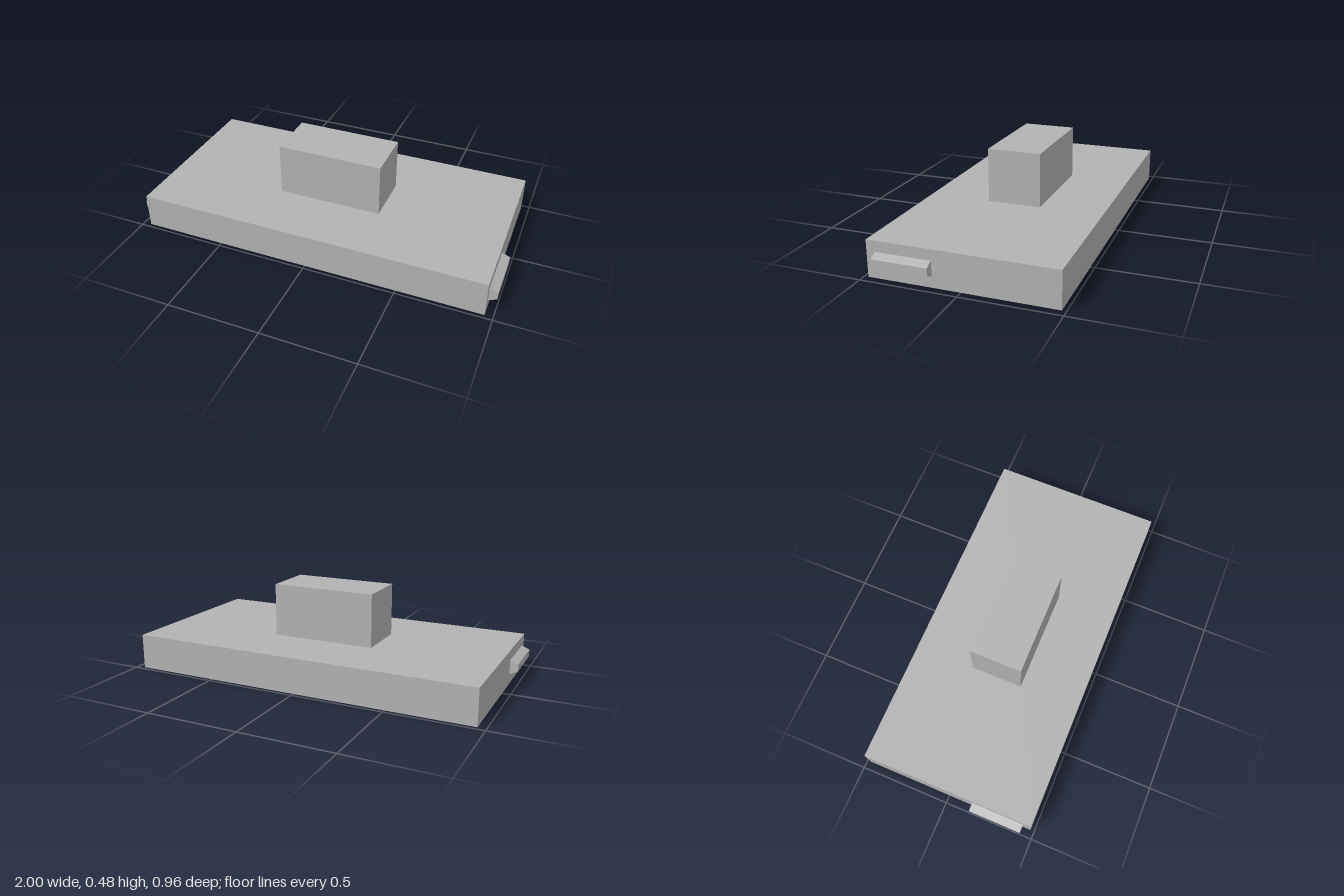
import * as THREE from 'three';

export function createModel() {
  const group = new THREE.Group();
  const grey = new THREE.MeshStandardMaterial({ color: 0xb3b3b3 });
  grey.name = 'grey';

  const add = (name, geometry, x, y, z) => {
    const mesh = new THREE.Mesh(geometry, grey);
    mesh.name = name;
    mesh.position.set(x, y, z);
    group.add(mesh);
  };

  // Flat slab with a block standing at its centre
  add('base', new THREE.BoxGeometry(1.914, 0.191, 0.957), 0, 0.0955, 0);
  add('centreBlock', new THREE.BoxGeometry(0.574, 0.288, 0.287), 0, 0.335, 0);

  // Side grips: trapezoid section, narrower on the outside, near the front
  for (const side of [1, -1]) {
    const section = new THREE.Shape([
      [0.957, 0.058], [1, 0.077], [1, 0.116], [0.957, 0.135],
    ].map(([x, y]) => new THREE.Vector2(side * x, y)));
    const grip = new THREE.ExtrudeGeometry(section, { depth: 0.29, bevelEnabled: false });
    add(side > 0 ? 'leftGrip' : 'rightGrip', grip, 0, 0, 0.143);
  }

  return group;
}
